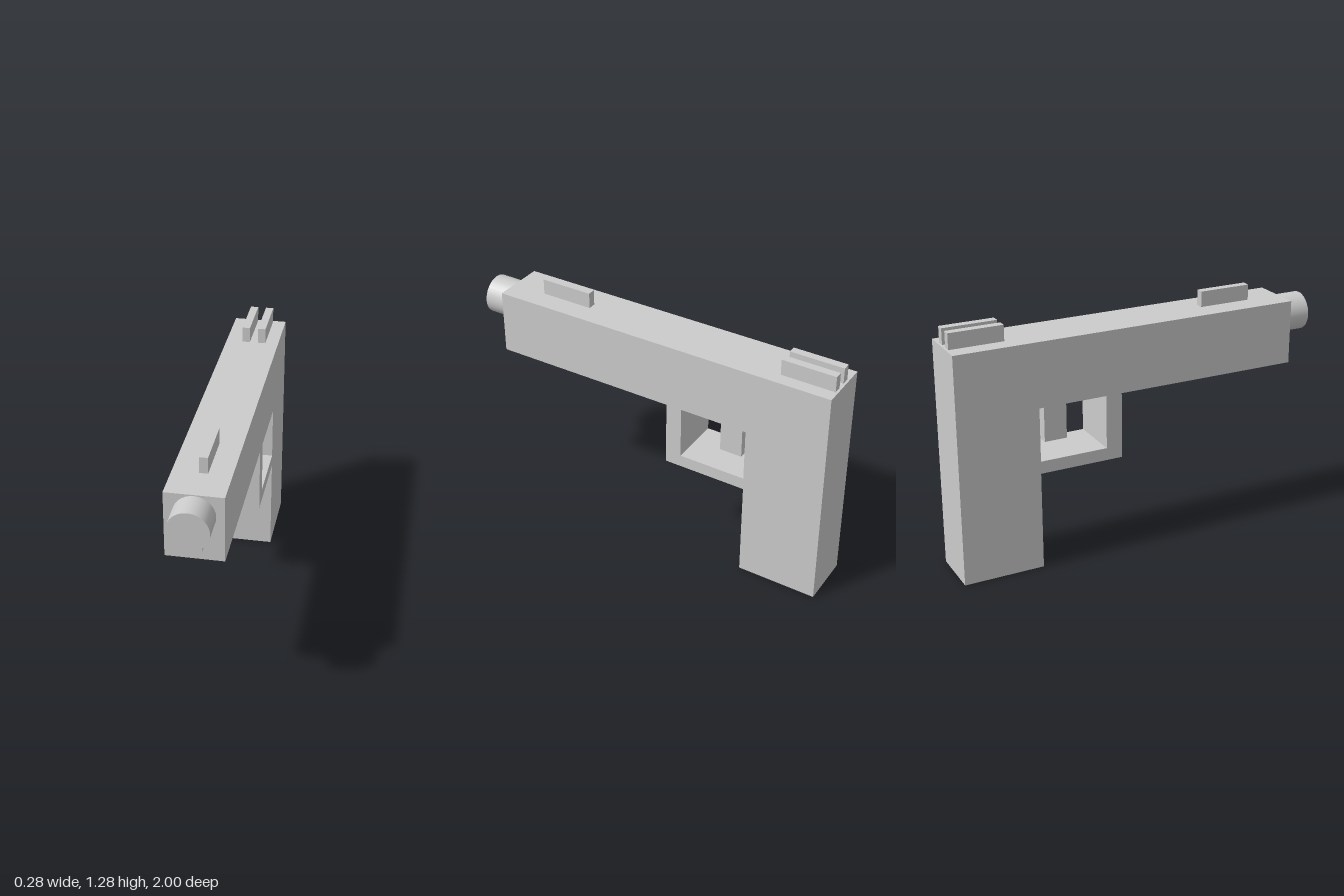
import * as THREE from 'three';

const material = new THREE.MeshStandardMaterial({ color: 0xcccccc });

function addMesh(group, name, geometry) {
  const mesh = new THREE.Mesh(geometry, material);
  mesh.name = name;
  group.add(mesh);
  return mesh;
}

// Box given by its minimum and maximum corners
function addBlock(group, name, [x0, y0, z0], [x1, y1, z1]) {
  const mesh = addMesh(group, name, new THREE.BoxGeometry(x1 - x0, y1 - y0, z1 - z0));
  mesh.position.set((x0 + x1) / 2, (y0 + y1) / 2, (z0 + z1) / 2);
}

// Cylinder along z, with its own half width and half height
function addTube(group, name, rx, ry, y, z0, z1) {
  const geometry = new THREE.CylinderGeometry(1, 1, z1 - z0, 32);
  geometry.rotateX(Math.PI / 2).scale(rx, ry, 1);
  addMesh(group, name, geometry).position.set(0, y, (z0 + z1) / 2);
}

const toPoints = (pairs) => pairs.map(([z, y]) => new THREE.Vector2(z, y));

export function createModel() {
  const group = new THREE.Group();
  group.name = 'pistol';

  // Slide, grip and trigger guard: one side profile (z, y) with the guard opening
  const width = 0.28;
  const profile = new THREE.Shape(toPoints([
    [-1, 0], [-0.576, 0], [-0.576, 0.517], [-0.13, 0.517],
    [-0.13, 0.863], [0.86, 0.863], [0.86, 1.2], [-1, 1.2],
  ]));
  // The opening stops a hair short of the grip edge to keep the outline simple
  profile.holes.push(new THREE.Path(toPoints([
    [-0.575, 0.582], [-0.575, 0.863], [-0.215, 0.863], [-0.215, 0.582],
  ])));
  const body = new THREE.ExtrudeGeometry(profile, { depth: width, bevelEnabled: false });
  body.translate(0, 0, -width / 2).rotateY(-Math.PI / 2);
  addMesh(group, 'body', body);

  // Trigger
  addBlock(group, 'trigger', [-0.066, 0.648, -0.52], [0.066, 0.87, -0.4]);

  // Barrel and the guide rod below it
  addTube(group, 'barrel', 0.1, 0.1, 1.095, 0.85, 1);
  addTube(group, 'guideRod', 0.046, 0.04, 0.944, 0.85, 0.91);

  // Sights
  addBlock(group, 'frontSight', [-0.014, 1.19, 0.392], [0.028, 1.282, 0.672]);
  for (const [name, x] of [['rearSightRight', -0.054], ['rearSightLeft', 0.03]]) {
    addBlock(group, name, [x, 1.19, -0.988], [x + 0.041, 1.282, -0.708]);
  }

  return group;
}
